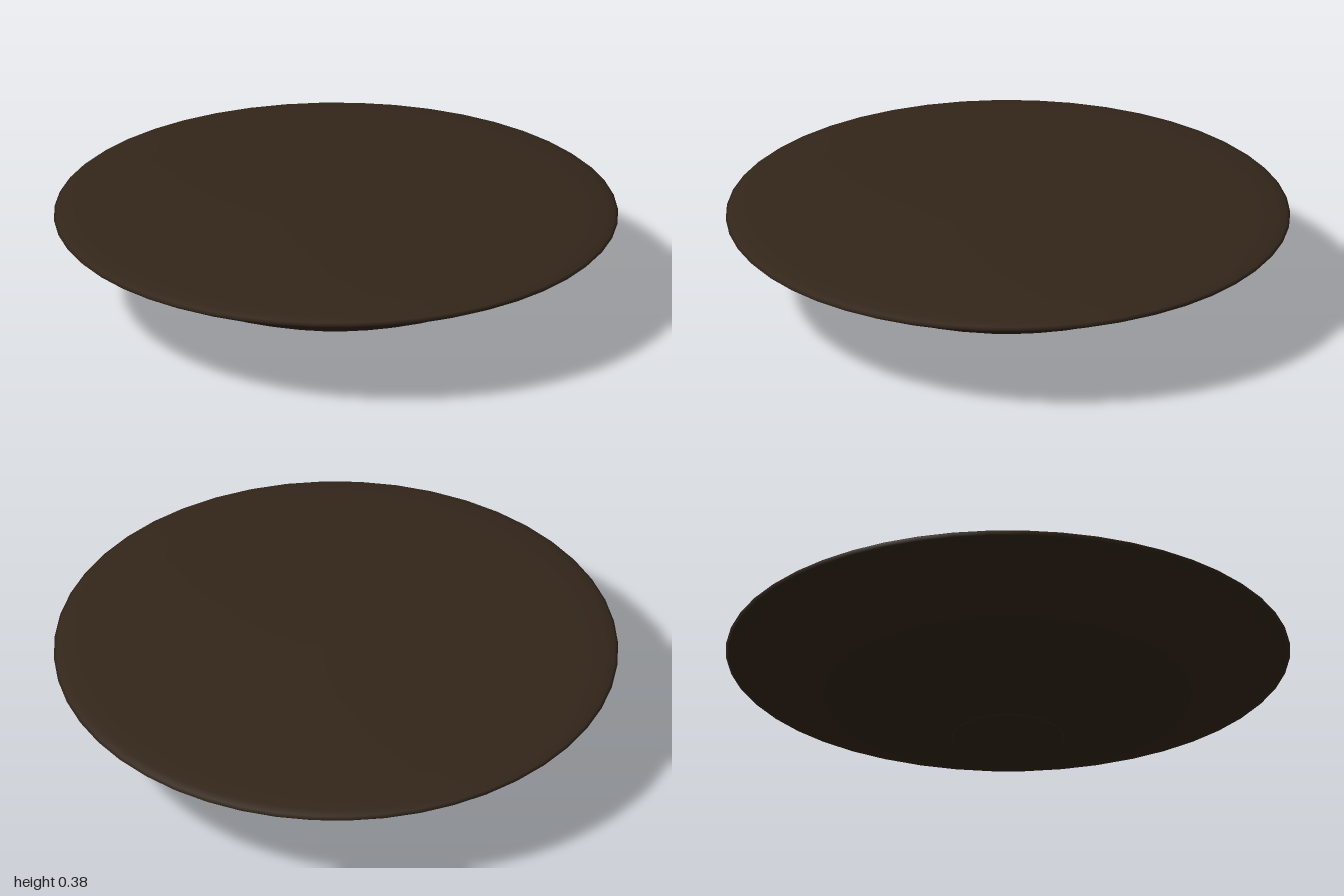
import * as THREE from 'three';

const SEGMENTS = 48;

export function createModel() {
  const group = new THREE.Group();
  const material = new THREE.MeshStandardMaterial({ color: 0x33261a });

  // Adds a turned part from [radius, height] pairs, listed bottom to top
  const addTurned = (name, profile) => {
    const points = profile.map(([r, y]) => new THREE.Vector2(r, y));
    const mesh = new THREE.Mesh(new THREE.LatheGeometry(points, SEGMENTS), material);
    mesh.name = name;
    group.add(mesh);
  };

  // Flaring body, rounded rim and gently domed top in one smooth skin
  addTurned('body', [
    [0.2, 0.005], [0.4, 0.077], [0.6, 0.153], [0.7, 0.198], [0.81, 0.253],
    [0.9, 0.292], [0.96, 0.32], [0.99, 0.335], [1, 0.345], [0.99, 0.353],
    [0.96, 0.36], [0.9, 0.367], [0.8, 0.372], [0.6, 0.377], [0.3, 0.383], [0, 0.385],
  ]);

  // Foot: a flat disc with a sharp edge
  addTurned('footEdge', [[0.195, 0], [0.2, 0.005]]);
  addTurned('footBase', [[0, 0], [0.195, 0]]);

  return group;
}
